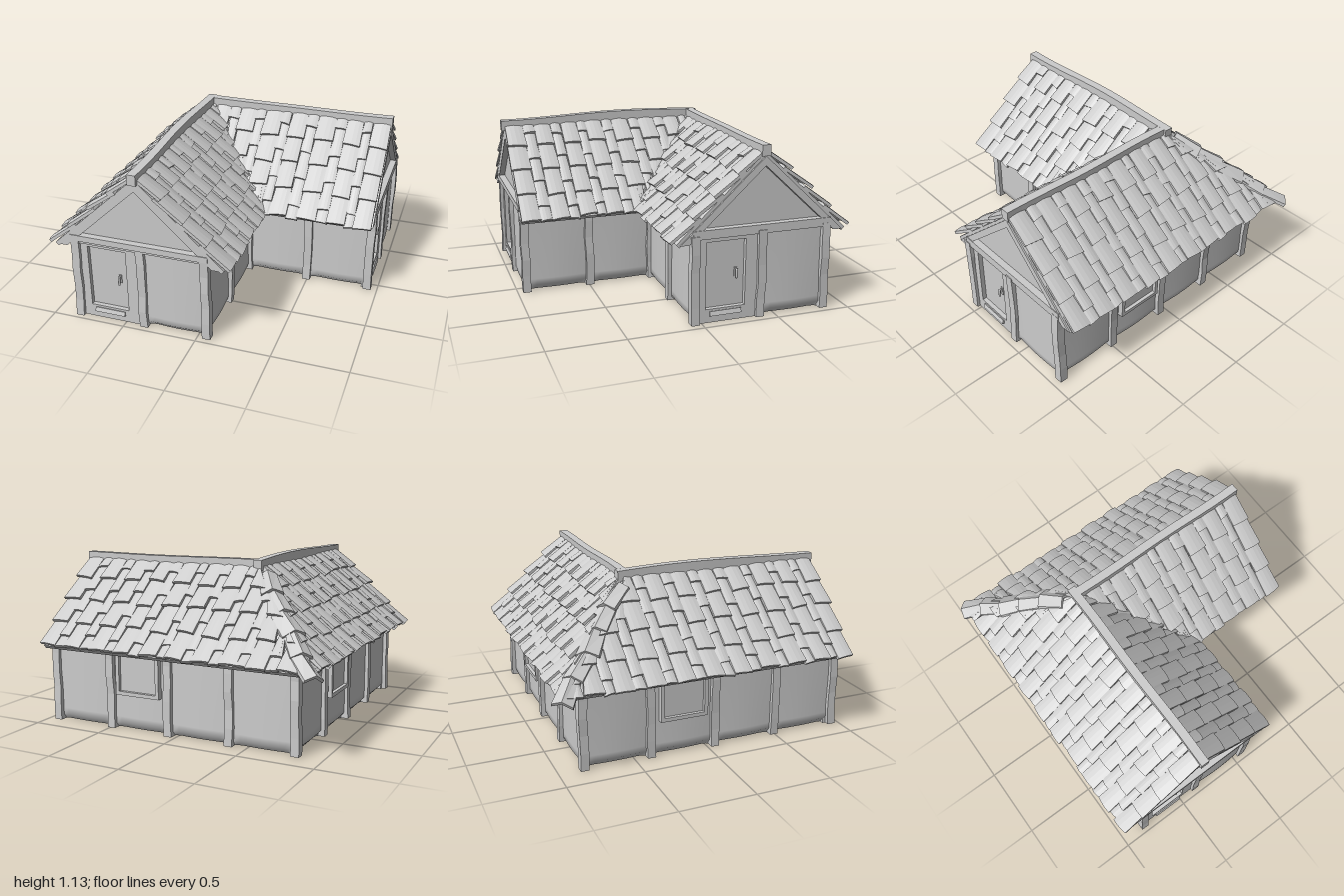
import * as THREE from 'three';
import { mergeGeometries } from 'three/addons/utils/BufferGeometryUtils.js';

const flat = new THREE.MeshStandardMaterial({ color: 0xcccccc, flatShading: true, side: THREE.DoubleSide });
const smooth = new THREE.MeshStandardMaterial({ color: 0xcccccc, side: THREE.DoubleSide });
const V = (x, y, z) => new THREE.Vector3(x, y, z);

// small seeded generator for hand-made irregularity, returns -1..1
let seed = 7;
const jit = (a) => {
  seed = (seed * 16807) % 2147483647;
  return a * ((seed / 2147483647) * 2 - 1);
};

function add(parent, name, geo, mat = flat, x = 0, y = 0, z = 0) {
  const m = new THREE.Mesh(geo, mat);
  m.name = name;
  m.position.set(x, y, z);
  parent.add(m);
  return m;
}
const box = (parent, name, w, h, d, x, y, z) => add(parent, name, new THREE.BoxGeometry(w, h, d), flat, x, y, z);

// main roof numbers: ridge crossing point, horizontal run and pitch
const CX = -0.38, CZ = -0.4, RIDGE = 1.07, RUN = 0.58, PITCH = Math.atan(0.93);
const SLOPE = RUN / Math.cos(PITCH);

// timber post, slightly crooked
function post(parent, x, z) {
  const g = new THREE.BoxGeometry(0.055, 0.58, 0.055, 1, 5, 1);
  const p = g.attributes.position, dx = [], dz = [];
  for (let i = 0; i < 6; i++) { dx.push(jit(0.005)); dz.push(jit(0.005)); }
  for (let i = 0; i < p.count; i++) {
    const k = Math.round((p.getY(i) / 0.58 + 0.5) * 5);
    p.setX(i, p.getX(i) + dx[k]);
    p.setZ(i, p.getZ(i) + dz[k]);
  }
  add(parent, 'post', g, flat, x, 0.29, z);
}

// bulging plaster panel that tucks inwards at the ground
function plaster(w) {
  const g = new THREE.PlaneGeometry(w, 0.57, 12, 14), p = g.attributes.position;
  for (let i = 0; i < p.count; i++) {
    const a = p.getX(i) / w + 0.5, b = p.getY(i) / 0.57 + 0.5;
    const mid = Math.sin(Math.PI * a);
    const tuck = b < 0.04 ? -0.04 * Math.min(1, 3 * mid) : 0;
    p.setZ(i, 0.012 * mid * (1 - b * 0.6) + tuck);
  }
  g.computeVertexNormals();
  return g;
}

function door(g, w) {
  const cx = w / 2 - 0.015, hw = 0.132;
  const wall = new THREE.Shape([[0, 0], [w, 0], [w, 0.57], [0, 0.57]].map((q) => new THREE.Vector2(...q)));
  wall.holes.push(new THREE.Path([[cx - hw, 0.09], [cx - hw, 0.53], [cx + hw, 0.53], [cx + hw, 0.09]]
    .map((q) => new THREE.Vector2(...q))));
  add(g, 'doorWall', new THREE.ExtrudeGeometry(wall, { depth: 0.05, bevelEnabled: false }), flat, 0, 0, -0.045);
  box(g, 'door', hw * 2, 0.44, 0.02, cx, 0.31, -0.035);
  const sill = box(g, 'doorSill', hw * 1.6, 0.03, 0.02, cx, 0.06, 0.008);
  sill.rotation.x = -0.3;
  // handle: back plate and grip
  box(g, 'handlePlate', 0.018, 0.06, 0.008, cx + 0.075, 0.31, -0.022);
  add(g, 'handleGrip', new THREE.CapsuleGeometry(0.008, 0.05, 3, 8), smooth, cx + 0.075, 0.305, 0);
  const pin = add(g, 'handlePin', new THREE.CylinderGeometry(0.006, 0.006, 0.03, 8), smooth, cx + 0.075, 0.33, -0.012);
  pin.rotation.x = Math.PI / 2;
}

function windowFrame(g, w) {
  const cx = w / 2, cy = 0.385, ww = 0.3, hh = 0.27, t = 0.025;
  box(g, 'windowPane', ww, hh, 0.01, cx, cy, 0.012);
  for (const s of [-1, 1]) {
    box(g, 'windowJamb', t, hh + t, 0.05, cx + s * ww / 2, cy, 0.015);
    box(g, 'windowRail', ww + t, t, 0.05, cx, cy + s * hh / 2, 0.015);
  }
}

// one wall bay between two posts; local +z faces outwards
function bay(parent, [x0, z0], [x1, z1], kind) {
  const w = Math.hypot(x1 - x0, z1 - z0), g = new THREE.Group();
  g.name = 'wallBay';
  g.position.set(x0, 0, z0);
  g.rotation.y = Math.atan2(z0 - z1, x1 - x0);
  parent.add(g);
  post(g, 0, 0);
  box(g, 'wallPlate', w, 0.035, 0.05, w / 2, 0.575, 0);
  if (kind === 'door') door(g, w);
  else add(g, 'plasterPanel', plaster(w), smooth, w / 2, 0.285, 0);
  if (kind === 'window') windowFrame(g, w);
}

// gable end: infill triangle, tie beam and a pair of rafters
function gable(parent, x, z, turn) {
  const g = new THREE.Group();
  g.name = 'gableEnd';
  g.position.set(x, 0, z);
  g.rotation.y = turn;
  parent.add(g);
  const tri = new THREE.Shape([V(-0.48, 0.59), V(0.48, 0.59), V(0, 1.035)]);
  add(g, 'gableInfill', new THREE.ExtrudeGeometry(tri, { depth: 0.02, bevelEnabled: false }), flat, 0, 0, -0.03);
  box(g, 'tieBeam', 0.93, 0.04, 0.06, 0, 0.595, 0.005);
  for (const s of [-1, 1]) {
    const r = new THREE.Shape([V(0, 1.045), V(0, 0.985), V(s * 0.49, 0.53), V(s * 0.55, 0.53)]);
    add(g, 'rafter', new THREE.ExtrudeGeometry(r, { depth: 0.05, bevelEnabled: false }), flat, 0, 0, -0.02);
  }
}

// roof slope: along = ridge direction, out = horizontal downhill direction,
// side -1 is cut at the hip, +1 at the valley
function slope(parent, name, along, out, length, side) {
  const down = out.clone().multiplyScalar(Math.cos(PITCH)).add(V(0, -Math.sin(PITCH), 0));
  const up = out.clone().multiplyScalar(Math.sin(PITCH)).add(V(0, Math.cos(PITCH), 0));
  const flip = along.clone().cross(up).dot(down) < 0;
  const limit = (v) => side * v * Math.cos(PITCH) - (side > 0 ? 0.03 : 0);

  // slab spanning u0..u1 along the ridge and v0..v1 downhill
  function slab(u0, u1, v0, v1, n0, n1, thick, bow, skew) {
    const g = new THREE.BoxGeometry(1, 1, 1, bow ? 4 : 1, 1, 1), p = g.attributes.position;
    for (let i = 0; i < p.count; i++) {
      const a = p.getX(i) + 0.5, b = p.getZ(i) + 0.5, c = p.getY(i) + 0.5;
      const v = Math.max(0, v0 + (v1 - v0) * b + skew * (a - 0.5) * b);
      const u = Math.max(limit(v), u0 + (u1 - u0) * (0.5 + (a - 0.5) * (bow ? 0.9 + 0.1 * b : 1)));
      const n = n0 + (n1 - n0) * b + thick * c + bow * Math.sin(Math.PI * a);
      const q = V(CX, RIDGE, CZ).addScaledVector(along, u).addScaledVector(down, v).addScaledVector(up, n);
      p.setXYZ(i, q.x, q.y, q.z);
    }
    if (flip) g.index.array.reverse();
    g.computeVertexNormals();
    return g;
  }

  const group = new THREE.Group();
  group.name = name;
  parent.add(group);
  add(group, 'roofBoards', slab(-0.8, length - 0.01, 0, SLOPE - 0.01, -0.03, -0.03, 0.03, 0, 0));

  // columns of wide and narrow tiles, staggered by half a course
  const tiles = [], course = SLOPE / 4;
  let u = length;
  for (let col = 0; u > -RUN; col++) {
    const wide = col % 2 === 0, w = (wide ? 0.122 : 0.07) + jit(0.008);
    for (let r = 0; r < 5; r++) {
      const v0 = (r - (wide ? 0 : 0.5)) * course - 0.03;
      const v1 = Math.min(v0 + course + 0.04 + jit(0.012), SLOPE + 0.01 + jit(0.008));
      if (v1 - v0 < 0.08 || u < Math.min(limit(Math.max(v0, 0)), limit(v1)) + 0.02) continue;
      const lift = (wide ? 0.024 : 0.015) + jit(0.006);
      tiles.push(slab(u - w - 0.004, u + jit(0.004), v0, v1, -0.005, lift, 0.02, 0.007, jit(0.014)));
    }
    u -= w;
  }
  add(group, 'roofTiles', mergeGeometries(tiles));
}

// ridge cap with a gentle wave; local +x runs along the ridge
function ridge(parent, length, x, z, turn, y, rise) {
  const g = new THREE.BoxGeometry(length, 0.07, 0.058, 12, 1, 1), p = g.attributes.position;
  for (let i = 0; i < p.count; i++) {
    const t = p.getX(i) / length + 0.5;
    p.setY(i, p.getY(i) + rise * Math.cos(t * Math.PI * 1.6));
    p.setZ(i, p.getZ(i) + 0.004 * Math.sin(t * 9));
  }
  g.computeVertexNormals();
  add(parent, 'ridgeCap', g, flat, x, y, z).rotation.y = turn;
}

// crooked folded tiles running down the hip
function hipTiles(parent) {
  const steps = 5, run = RUN - 0.08;
  for (let i = 0; i < steps; i++) {
    const t = 0.12 + (i / (steps - 1)) * (run - 0.06);
    const g = new THREE.BoxGeometry(0.13 + jit(0.015), 0.022, 0.2, 2, 1, 1), p = g.attributes.position;
    for (let k = 0; k < p.count; k++) {
      const f = Math.abs(p.getX(k));
      p.setY(k, p.getY(k) - f * 0.6);
      p.setX(k, p.getX(k) * (1 + p.getZ(k)));
    }
    g.computeVertexNormals();
    const m = add(parent, 'hipTile', g, flat, CX - t, RIDGE - t * 0.93 + 0.045, CZ - t);
    m.rotation.order = 'YXZ';
    m.rotation.set(-0.5, Math.PI / 4 + jit(0.25), jit(0.15));
    m.rotation.x = 0.5;
    m.rotation.y += Math.PI;
  }
}

export function createModel() {
  seed = 7;
  const house = new THREE.Group();
  house.name = 'cottage';

  // L-shaped wall line, left to right as seen from outside
  const walls = new THREE.Group();
  walls.name = 'walls';
  house.add(walls);
  const corners = [[-0.82, 0.94], [-0.37, 0.94], [0.06, 0.94], [0.06, 0.495], [0.06, 0.05], [0.495, 0.05],
    [0.93, 0.05], [0.93, -0.395], [0.93, -0.84], [0.4925, -0.84], [0.055, -0.84], [-0.3825, -0.84],
    [-0.82, -0.84], [-0.82, -0.395], [-0.82, 0.05], [-0.82, 0.495]];
  const kinds = { 0: 'door', 6: 'door', 9: 'window', 13: 'window' };
  corners.forEach((c, i) => bay(walls, c, corners[(i + 1) % corners.length], kinds[i]));

  gable(house, CX, 0.94, 0);
  gable(house, 0.92, CZ, Math.PI / 2);

  // roof: two outer slopes meet at the hip, two inner slopes at the valley
  const X = V(1, 0, 0), Z = V(0, 0, 1);
  slope(house, 'frontWingOuterSlope', Z, V(-1, 0, 0), 1.38, -1);
  slope(house, 'frontWingInnerSlope', Z, V(1, 0, 0), 1.38, 1);
  slope(house, 'sideWingOuterSlope', X, V(0, 0, -1), 1.33, -1);
  slope(house, 'sideWingInnerSlope', X, V(0, 0, 1), 1.33, 1);
  ridge(house, 1.44, CX, 0.275, Math.PI / 2, 1.085, -0.012);
  ridge(house, 1.31, 0.3, CZ, 0, 1.08, 0.003);
  hipTiles(house);
  return house;
}
